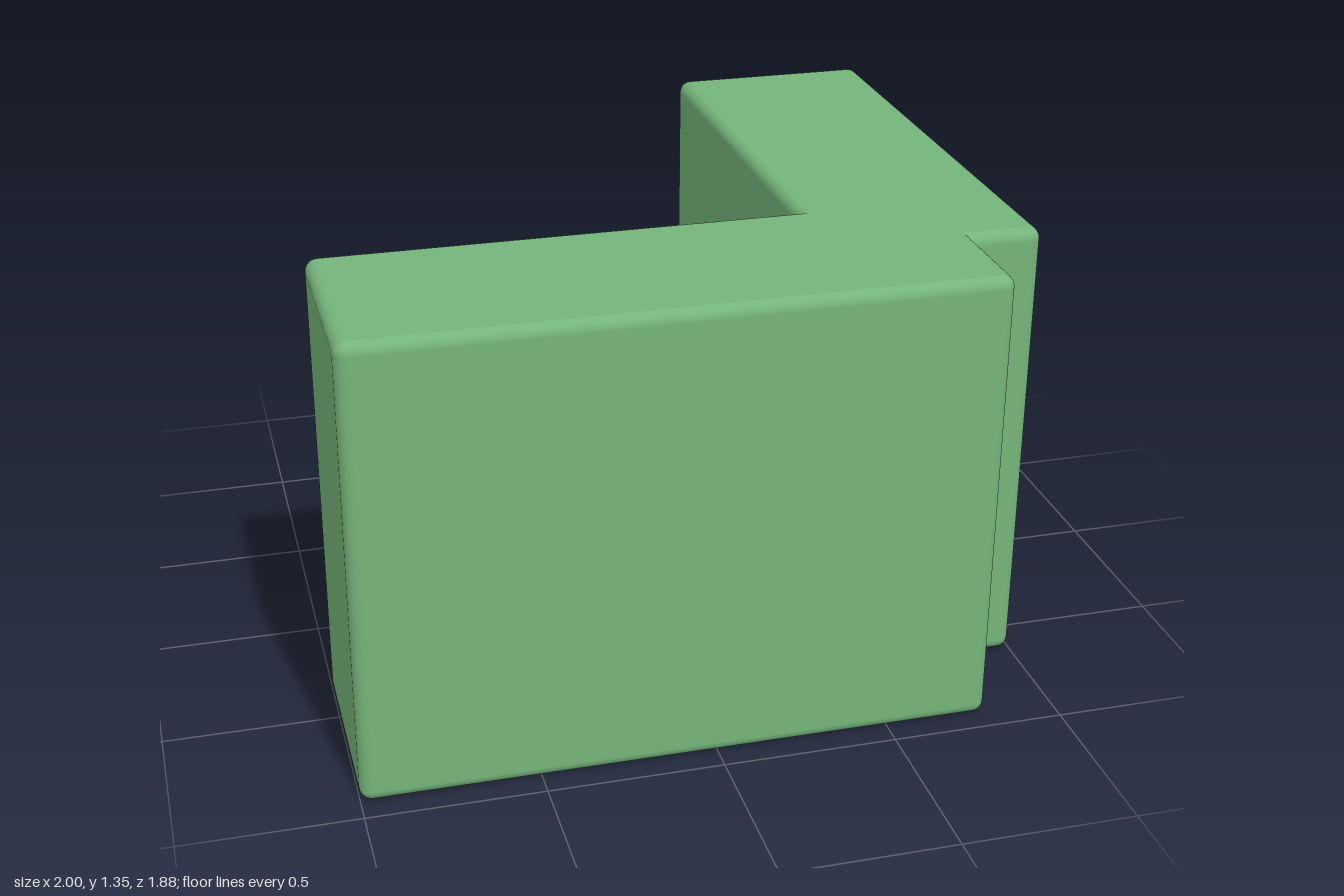
import * as THREE from 'three';
import { RoundedBoxGeometry } from 'three/addons/geometries/RoundedBoxGeometry.js';

const HEIGHT = 1.35;
const EDGE_RADIUS = 0.035;

export function createModel() {
  const model = new THREE.Group();
  model.name = 'cornerHedge';
  const green = new THREE.MeshStandardMaterial({ color: 0x74b47a });

  // A soft-edged block standing on the ground, given by its plan extents
  function addBlock(name, x0, x1, z0, z1) {
    const geometry = new RoundedBoxGeometry(x1 - x0, HEIGHT, z1 - z0, 4, EDGE_RADIUS);
    const block = new THREE.Mesh(geometry, green);
    block.name = name;
    block.position.set((x0 + x1) / 2, HEIGHT / 2, (z0 + z1) / 2);
    model.add(block);
  }

  // Two arms overlapping at the corner, leaving a small outer step
  addBlock('frontArm', -1, 0.795, 0.325, 0.94);
  addBlock('sideArm', 0.385, 1, -0.94, 0.63);

  return model;
}
